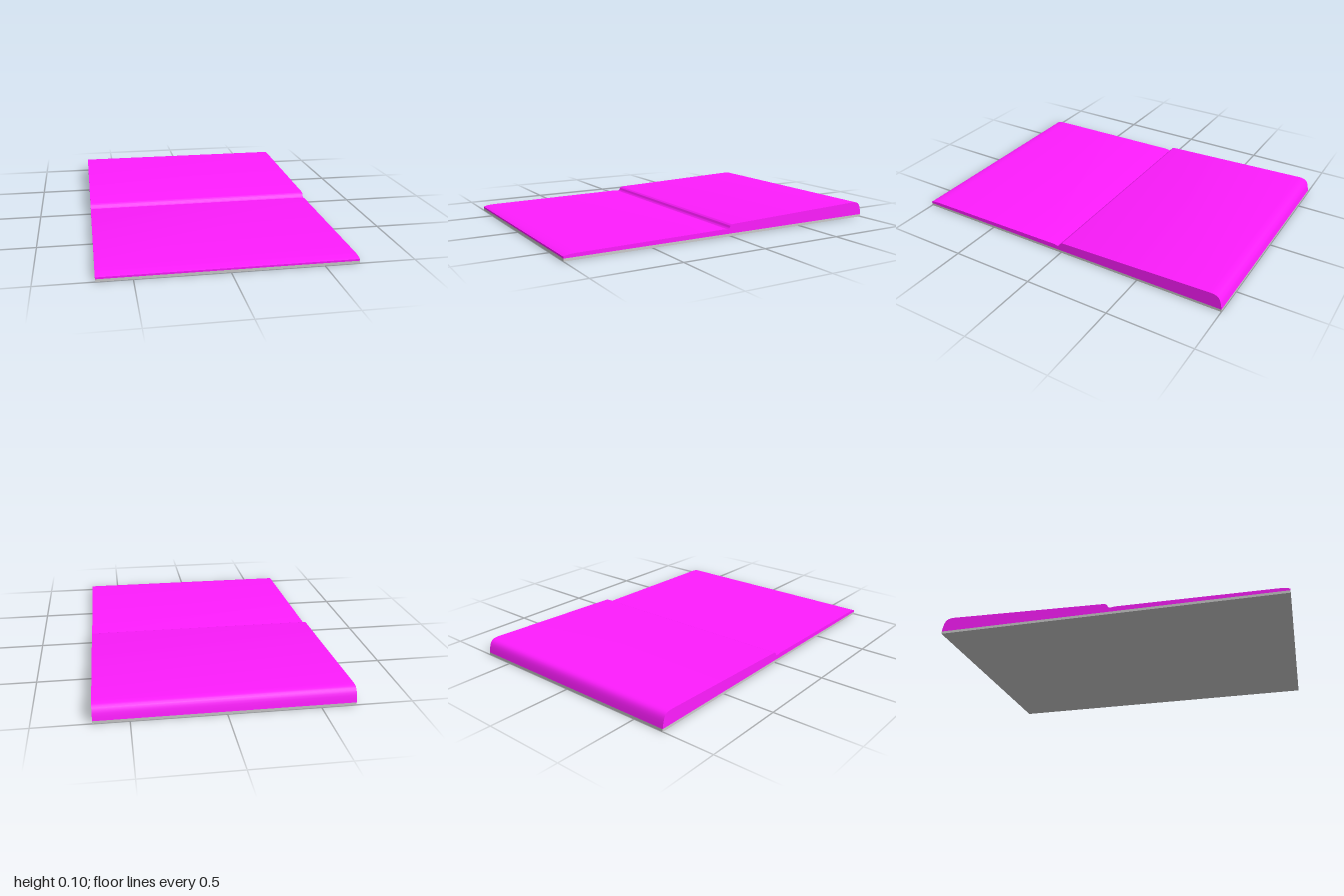
import * as THREE from 'three';
import { toCreasedNormals } from 'three/addons/utils/BufferGeometryUtils.js';

const WIDTH = 1.38;
const BASE = 0.015;

// Extrude a side profile, drawn in (-z, y), across the full width.
function extrudeAcross(shape) {
  const geometry = new THREE.ExtrudeGeometry(shape, { depth: WIDTH, bevelEnabled: false, curveSegments: 8 });
  geometry.translate(0, 0, -WIDTH / 2);
  geometry.rotateY(Math.PI / 2);
  return toCreasedNormals(geometry, 0.5);
}

export function createModel() {
  const group = new THREE.Group();
  group.name = 'steppedSlab';

  // Thin flat sheet under the whole slab
  const base = new THREE.Mesh(
    new THREE.BoxGeometry(WIDTH, BASE, 2),
    new THREE.MeshStandardMaterial({ color: 0xcccccc })
  );
  base.position.y = BASE / 2;
  base.name = 'baseSheet';
  group.add(base);

  // Upper body: low front panel, groove and step, sloping rear panel with rounded back
  const profile = new THREE.Shape();
  profile.moveTo(-1, BASE);
  profile.lineTo(1, BASE);
  profile.bezierCurveTo(0.99, 0.075, 0.985, 0.098, 0.93, 0.097);
  profile.lineTo(0.02, 0.068);
  profile.quadraticCurveTo(0.002, 0.067, -0.003, 0.058);
  profile.quadraticCurveTo(-0.01, 0.042, -0.02, 0.039);
  profile.lineTo(-0.045, 0.044);
  profile.lineTo(-0.93, 0.035);
  profile.quadraticCurveTo(-0.98, 0.034, -1, 0.025);
  profile.closePath();

  const body = new THREE.Mesh(
    extrudeAcross(profile),
    new THREE.MeshStandardMaterial({ color: 0xff1cff })
  );
  body.name = 'steppedTop';
  group.add(body);

  return group;
}
